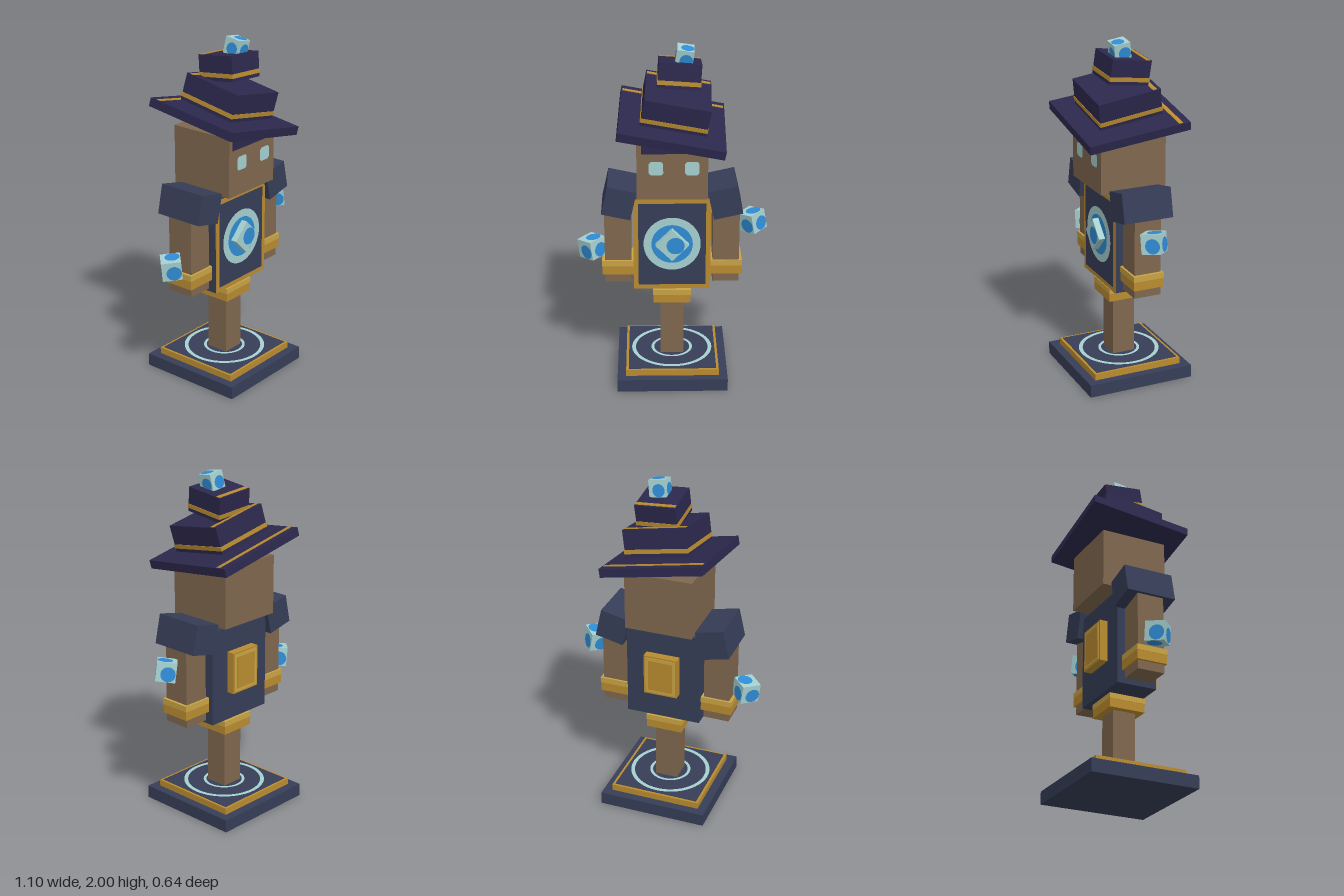
import * as THREE from 'three';

const mat = (name, color) => {
  const m = new THREE.MeshStandardMaterial({ color });
  m.name = name;
  return m;
};

export function createModel() {
  const navy = mat('navy', 0x363d57);
  const hatCloth = mat('hat cloth', 0x2c284d);
  const wood = mat('wood', 0x7f674e);
  const gold = mat('gold', 0xb98b30);
  const lightGold = mat('light gold', 0xc9a345);
  const pale = mat('pale crystal', 0xa6d0d0);
  const blue = mat('blue crystal', 0x2f8dd6);

  const root = new THREE.Group();

  const add = (parent, name, geo, material, x = 0, y = 0, z = 0) => {
    const mesh = new THREE.Mesh(geo, material);
    mesh.name = name;
    mesh.position.set(x, y, z);
    parent.add(mesh);
    return mesh;
  };
  const box = (parent, name, w, h, d, material, x, y, z) =>
    add(parent, name, new THREE.BoxGeometry(w, h, d), material, x, y, z);
  const group = (name, x, y, z, rx = 0, ry = 0, rz = 0) => {
    const g = new THREE.Group();
    g.name = name;
    g.position.set(x, y, z);
    g.rotation.set(rx, ry, rz, 'ZYX');
    root.add(g);
    return g;
  };

  // Crystal: pale box with an off-centre blue patch on every face
  const crystal = (name, w, d, x, y, z, rx, ry, rz) => {
    const g = group(name, x, y, z, rx, ry, rz);
    box(g, name + 'Body', w, w, d, pale);
    const faces = [[0, 0, d], [0, Math.PI, d]];
    if (d === w) faces.push([0, Math.PI / 2, d], [0, -Math.PI / 2, d], [Math.PI / 2, 0, d], [-Math.PI / 2, 0, d]);
    for (const [ax, ay, depth] of faces) {
      const side = new THREE.Group();
      side.rotation.set(ax, ay, 0);
      g.add(side);
      add(side, name + 'Patch', new THREE.CircleGeometry(w * 0.38, 20), blue, w * 0.1, -w * 0.1, depth / 2 + 0.002);
    }
  };

  // Gold cuff with a lighter upper band
  const cuff = (name, w, h, d, x, y) => {
    box(root, name, w, h, d, gold, x, y, 0);
    box(root, name + 'Highlight', w + 0.004, h * 0.4, d + 0.004, lightGold, x, y + h * 0.3 + 0.002, 0);
  };

  // Stand
  box(root, 'base', 0.64, 0.075, 0.64, navy, 0, 0.0375, 0);
  box(root, 'baseTrim', 0.54, 0.038, 0.54, gold, 0, 0.094, 0);
  box(root, 'baseTop', 0.51, 0.004, 0.51, navy, 0, 0.114, 0);
  for (const [inner, outer] of [[0.215, 0.238], [0.105, 0.122]]) {
    add(root, 'baseRing', new THREE.RingGeometry(inner, outer, 48), pale, 0, 0.118, 0).rotation.x = -Math.PI / 2;
  }
  box(root, 'leg', 0.135, 0.47, 0.135, wood, 0, 0.345, 0);
  cuff('legCuff', 0.215, 0.08, 0.215, 0, 0.51);

  // Torso, framed front and crystal medallion
  box(root, 'torso', 0.44, 0.56, 0.24, navy, 0, 0.85, 0);
  box(root, 'chestFrame', 0.44, 0.56, 0.004, gold, 0, 0.85, 0.121);
  box(root, 'chestPanel', 0.385, 0.505, 0.004, navy, 0, 0.85, 0.1225);
  add(root, 'chestDisc', new THREE.CircleGeometry(0.163, 40), pale, 0, 0.855, 0.1265);
  add(root, 'chestDiscCentre', new THREE.CircleGeometry(0.118, 40), blue, 0, 0.855, 0.1285);
  crystal('chestCrystal', 0.135, 0.045, 0, 0.86, 0.143, 0, 0, Math.PI / 4);

  // Back plate
  box(root, 'backPlate', 0.2, 0.245, 0.05, gold, 0, 0.862, -0.143);
  box(root, 'backPlateRim', 0.18, 0.225, 0.004, lightGold, 0, 0.862, -0.169);
  box(root, 'backPlateCentre', 0.145, 0.19, 0.004, gold, 0, 0.862, -0.171);

  // Arms
  for (const s of [1, -1]) {
    const side = s > 0 ? 'left' : 'right';
    box(root, side + 'Arm', 0.152, 0.48, 0.16, wood, s * 0.31, 0.835, 0);
    cuff(side + 'ArmCuff', 0.182, 0.085, 0.18, s * 0.31, 0.688);
    box(root, side + 'Shoulder', 0.168, 0.17, 0.295, navy, s * 0.3, 1.114, 0).rotation.z = s * 0.22;
    crystal(side + 'Crystal', 0.112, 0.112, s * 0.462, s > 0 ? 0.945 : 0.785, 0, 0, Math.PI / 4, s > 0 ? 0.18 : 0.13);
  }

  // Head
  box(root, 'head', 0.395, 0.345, 0.395, wood, 0, 1.333, 0);
  box(root, 'foreheadBand', 0.36, 0.07, 0.004, hatCloth, 0.01, 1.466, 0.199);
  for (const x of [-0.09, 0.11]) {
    const r = 0.04, c = 0.028;
    const eye = new THREE.Shape([[r, c], [c, r], [-c, r], [-r, c], [-r, -c], [-c, -r], [c, -r], [r, -c]]
      .map(([a, b]) => new THREE.Vector2(a, b)));
    add(root, 'eye', new THREE.ShapeGeometry(eye), pale, x, 1.345, 0.2005);
  }

  // Crooked hat: each tier is [name, width, height, x, y, z, tilt x, tilt z, has band]
  const tiers = [
    ['hatBrim', 0.6, 0.05, 0, 1.547, 0, 0.13, -0.19, false],
    ['hatMiddle', 0.37, 0.155, 0.023, 1.665, 0.02, 0.16, -0.185, true],
    ['hatTop', 0.235, 0.142, 0.041, 1.832, 0, -0.12, -0.07, true],
  ];
  for (const [name, w, h, x, y, z, rx, rz, band] of tiers) {
    const g = group(name, x, y, z, rx, 0, rz);
    box(g, name + 'Cloth', w, h, w, hatCloth);
    box(g, name + 'Stripe', w * 0.975, 0.004, 0.024, gold, 0, h / 2 + 0.001, -w * 0.41);
    if (band) box(g, name + 'Band', w + 0.006, 0.024, w + 0.006, gold, 0, -h / 2 + 0.032, 0);
  }
  crystal('hatCrystal', 0.095, 0.095, 0.07, 1.939, 0.028, 0.16, 0, -0.14);

  return root;
}
